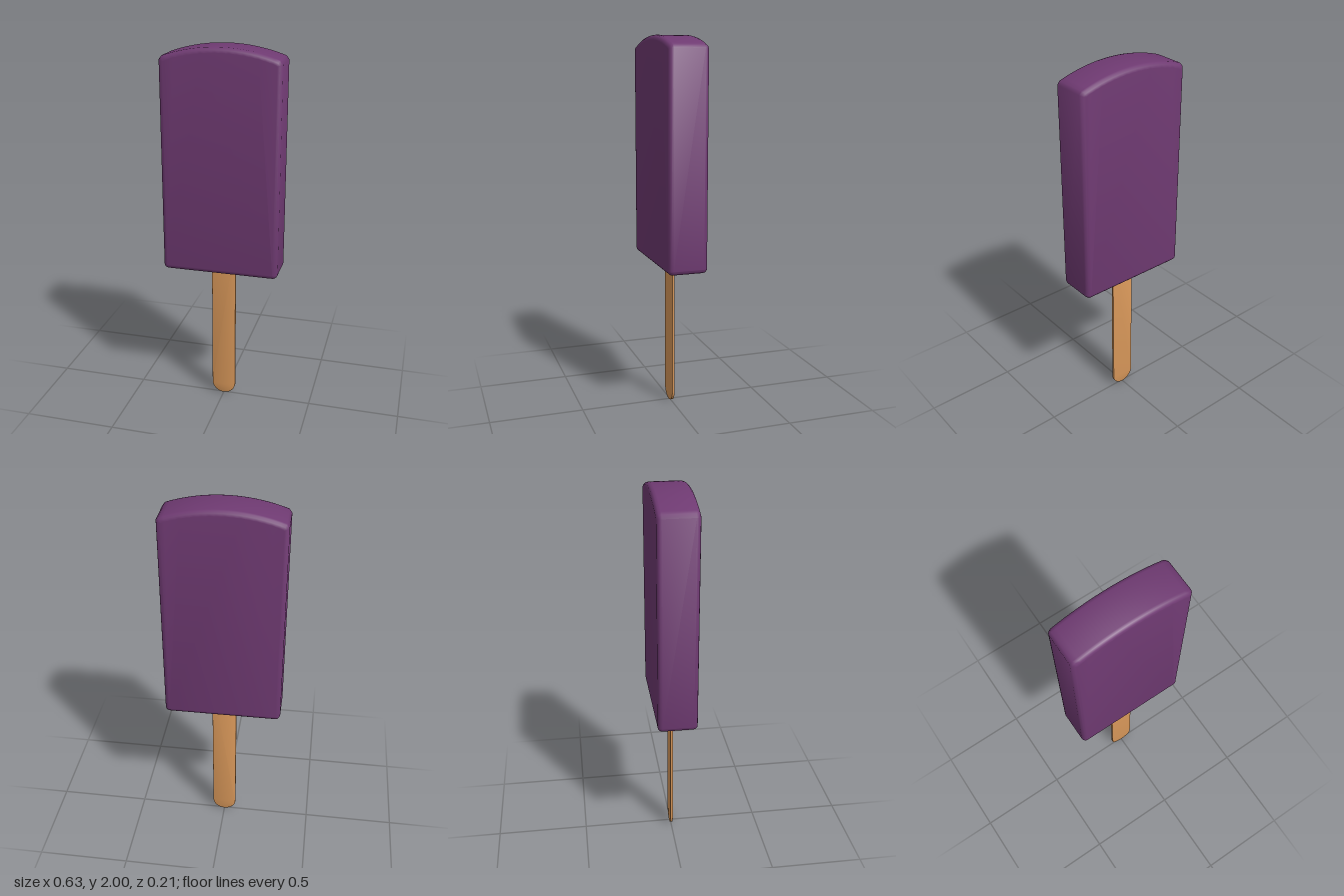
import * as THREE from 'three';
import { toCreasedNormals } from 'three/addons/utils/BufferGeometryUtils.js';

// Extrude a shape centred on z = 0, with a soft bevel that grows the outline
function slab(shape, halfDepth, bevel, segments, curveSegments) {
  const depth = 2 * (halfDepth - bevel);
  const geometry = new THREE.ExtrudeGeometry(shape, {
    depth, curveSegments, bevelEnabled: true,
    bevelSize: bevel, bevelThickness: bevel, bevelSegments: segments,
  });
  geometry.translate(0, 0, -depth / 2);
  return toCreasedNormals(geometry, 0.9);
}

function part(name, geometry, color) {
  const mesh = new THREE.Mesh(geometry, new THREE.MeshStandardMaterial({ color }));
  mesh.name = name;
  return mesh;
}

export function createModel() {
  const model = new THREE.Group();
  model.name = 'icePop';

  // Frozen block: tiny corner arcs widen into rounded corners with the bevel
  const bevel = 0.024, w = 0.315 - bevel, bottom = 0.798 + bevel;
  const shoulder = 1.95 - bevel, crown = 2 - bevel, r = 0.004;
  const rise = crown - shoulder;
  const radius = (w * w + rise * rise) / (2 * rise);
  const half = Math.asin((w - r) / radius);
  const ice = new THREE.Shape();
  ice.moveTo(-w + r, bottom);
  ice.lineTo(w - r, bottom);
  ice.quadraticCurveTo(w, bottom, w, bottom + r);
  ice.lineTo(w, shoulder - r);
  ice.absarc(0, crown - radius, radius, Math.PI / 2 - half, Math.PI / 2 + half, false);
  ice.lineTo(-w, shoulder - r);
  ice.lineTo(-w, bottom + r);
  ice.quadraticCurveTo(-w, bottom, -w + r, bottom);
  model.add(part('iceBlock', slab(ice, 0.105, bevel, 3, 16), 0x6f3a72));

  // Flat wooden stick with a round lower end, its top sunk into the block
  const edge = 0.002, s = 0.067 - edge;
  const stick = new THREE.Shape();
  stick.moveTo(s, 0.95);
  stick.lineTo(-s, 0.95);
  stick.absarc(0, s + edge, s, Math.PI, 2 * Math.PI, false);
  model.add(part('stick', slab(stick, 0.007, edge, 2, 24), 0xd9985a));

  return model;
}
